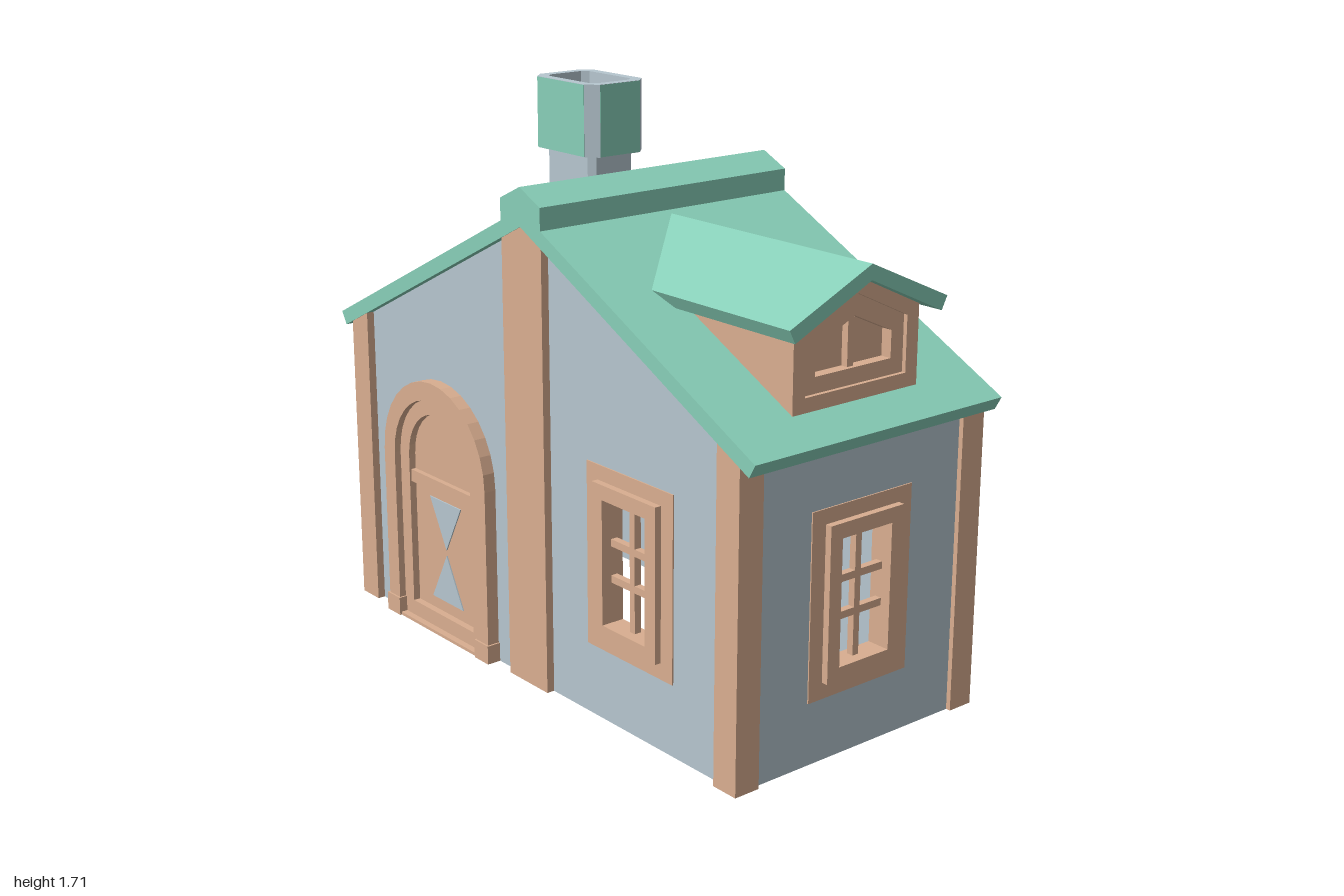
import * as THREE from 'three';

const mat = (color) => new THREE.MeshStandardMaterial({ color, flatShading: true, side: THREE.DoubleSide });
const wallMat = mat(0xb6c6cf), wood = mat(0xd9ae90), green = mat(0x88cfb8);

const SLOPE = 0.497;
const under = (z) => 1.41 - SLOPE * Math.abs(z); // underside of the main roof
const roofZ = (y) => (1.46 - y) / SLOPE;         // front roof surface at height y

const poly = (pts, Type = THREE.Shape) => new Type(pts.map(([x, y]) => new THREE.Vector2(x, y)));
const rect = (u, v0, half, v1) => [[u - half, v0], [u + half, v0], [u + half, v1], [u - half, v1]];
const mirrored = (half) => [...half, ...half.filter((p) => p[0] !== 0).reverse().map(([x, y]) => [-x, y])];
const house = (w, y0, y1, apex) => [[-w, y0], [w, y0], [w, y1], [0, apex], [-w, y1]];

// Outline with a semicircular top
function arch(u, y0, spring, r) {
  const pts = [[u - r, y0], [u + r, y0]];
  for (let i = 0; i <= 16; i++) {
    const a = (Math.PI * i) / 16;
    pts.push([u + r * Math.cos(a), spring + r * Math.sin(a)]);
  }
  pts.push([u - r, y0 + 0.001]);
  return pts;
}

// Plate between depths z0 and z1 with optional holes
function plate(parent, name, outline, z0, z1, material, holes = []) {
  const shape = poly(outline);
  holes.forEach((h) => shape.holes.push(poly(h, THREE.Path)));
  const geo = new THREE.ExtrudeGeometry(shape, { depth: z1 - z0, bevelEnabled: false });
  geo.translate(0, 0, z0);
  const mesh = new THREE.Mesh(geo, material);
  mesh.name = name;
  parent.add(mesh);
  return mesh;
}

// Facade group: local x runs along the wall, local z points outwards
function facade(parent, name, angle) {
  const g = new THREE.Group();
  g.name = name;
  g.rotation.y = angle;
  parent.add(g);
  return g;
}

// Framed window with six openings, w = outer wall depth
function addWindow(parent, u, dy, w) {
  const g = new THREE.Group();
  g.name = 'window';
  g.position.set(u, dy, 0);
  parent.add(g);
  const opening = rect(0, 0.28, 0.095, 0.66), frame = rect(0, 0.24, 0.14, 0.705);
  plate(g, 'windowSurround', rect(0, 0.19, 0.19, 0.75), w - 0.043, w + 0.004, wood, [rect(0, 0.25, 0.13, 0.695)]);
  plate(g, 'windowFrame', frame, w - 0.05, w + 0.025, wood, [opening]);
  plate(g, 'mullion', rect(0, 0.28, 0.011, 0.66), w - 0.03, w - 0.008, wood);
  for (const y of [0.415, 0.525]) plate(g, 'glazingBar', rect(0, y - 0.011, 0.095, y + 0.011), w - 0.03, w - 0.008, wood);
}
const windowHole = (u, dy) => rect(u, 0.22 + dy, 0.16, 0.72 + dy);

function addDoor(parent, u, w) {
  const g = new THREE.Group();
  g.name = 'door';
  parent.add(g);
  plate(g, 'doorSurround', arch(u, 0, 0.56, 0.28), w - 0.043, w + 0.04, wood, [arch(u, 0.01, 0.56, 0.22)]);
  plate(g, 'doorFrame', arch(u, 0, 0.56, 0.22), w - 0.035, w + 0.018, wood,
    [arch(u, 0.06, 0.56, 0.17)]);
  plate(g, 'doorLeaf', arch(u, 0.02, 0.56, 0.2), w - 0.03, w - 0.005, wood);
  plate(g, 'doorRail', rect(u, 0.47, 0.17, 0.51), w - 0.01, w + 0.012, wood);
  // Paired triangular panels, showing on both faces
  plate(g, 'upperPanel', [[u, 0.28], [u + 0.085, 0.44], [u - 0.085, 0.44]], w - 0.034, w - 0.001, wallMat);
  plate(g, 'lowerPanel', [[u - 0.085, 0.1], [u + 0.085, 0.1], [u, 0.26]], w - 0.034, w - 0.001, wallMat);
  // Foot blocks
  for (const s of [-1, 1]) plate(g, 'doorFoot', rect(u + s * 0.25, 0, 0.036, 0.06), w - 0.01, w + 0.046, wood);
}

// Timber following the roof slope at its top
function post(parent, name, u0, u1) {
  const mid = u0 < 0 && u1 > 0 ? [[0, under(0)]] : [];
  plate(parent, name, [[u0, 0], [u1, 0], [u1, under(u1)], ...mid, [u0, under(u0)]], 0.38, 0.465, wood);
}

function addDormer(parent) {
  const g = new THREE.Group();
  g.name = 'dormer';
  parent.add(g);
  // Rear ends are cut along the main roof
  const cut = (mesh) => {
    const p = mesh.geometry.attributes.position;
    for (let i = 0; i < p.count; i++) if (p.getZ(i) < 0.01) p.setZ(i, Math.min(roofZ(p.getY(i)), 0.887));
    mesh.geometry.computeVertexNormals();
  };
  cut(plate(g, 'dormerRoof', [[0, 1.36], [0.275, 1.233], [0.295, 1.272], [0, 1.405], [-0.295, 1.272], [-0.275, 1.233]], 0, 0.935, green));
  const recess = house(0.19, 1.06, 1.225, 1.315);
  cut(plate(g, 'dormerWalls', house(0.235, 1.017, 1.25, 1.36), 0, 0.888, wood, [recess]));
  plate(g, 'dormerWindowFrame', recess, 0.83, 0.875, wood, [house(0.143, 1.107, 1.187, 1.252)]);
  plate(g, 'dormerPane', recess, 0.815, 0.84, wood);
  plate(g, 'dormerMullion', rect(0, 1.107, 0.011, 1.245), 0.84, 0.862, wood);
}

function addChimney(parent) {
  const g = new THREE.Group();
  g.name = 'chimney';
  g.position.set(0.222, 0, -0.565);
  parent.add(g);
  const oct = (w, d, c) => [[-w + c, -d], [w - c, -d], [w, -d + c], [w, d - c], [w - c, d], [-w + c, d], [-w, d - c], [-w, -d + c]];
  // Plates stacked upright
  const up = facade(g, 'chimneyStack', 0);
  up.rotation.x = -Math.PI / 2;
  plate(up, 'chimneyShaft', oct(0.088, 0.122, 0.02), 1.09, 1.56, wallMat);
  plate(up, 'chimneyCap', oct(0.116, 0.158, 0.036), 1.48, 1.71, wallMat, [oct(0.083, 0.125, 0.02)]);
  // Green faces on three sides of the cap
  const panel = (w, d, x, z) => {
    const m = new THREE.Mesh(new THREE.BoxGeometry(w, 0.228, d), green);
    m.name = 'chimneyCapPanel';
    m.position.set(x, 1.595, z);
    g.add(m);
  };
  for (const s of [-1, 1]) panel(0.16, 0.004, 0, s * 0.157);
  panel(0.004, 0.244, -0.115, 0);
}

export function createModel() {
  const model = new THREE.Group();
  model.name = 'cottage';

  // Front and back walls
  for (const [name, angle] of [['frontWall', 0], ['backWall', Math.PI]]) {
    const f = facade(model, name, angle);
    plate(f, 'wallPanel', rect(0, 0, 0.44, 0.953), 0.885, 0.925, wallMat, [windowHole(0, 0)]);
    addWindow(f, 0, 0, 0.925);
  }

  // Gable walls with corner and centre posts
  const gable = mirrored([[0.925, 0], [0.925, under(0.925)], [0, under(0)]]);
  const right = facade(model, 'rightGable', -Math.PI / 2);
  const left = facade(model, 'leftGable', Math.PI / 2);
  plate(left, 'gablePanel', gable, 0.4, 0.44, wallMat);
  plate(right, 'gablePanel', gable, 0.4, 0.44, wallMat, [windowHole(0.46, 0.03), arch(-0.47, 0.01, 0.56, 0.25)]);
  for (const g of [left, right]) {
    post(g, 'centrePost', -0.095, 0.095);
    post(g, 'cornerPost', 0.85, 0.94);
    post(g, 'cornerPost', -0.94, -0.85);
  }
  for (const s of [-1, 1]) {
    for (const [y0, y1] of [[0, 0.145], [0.4, 0.54]]) {
      plate(left, 'crossBeam', rect(s * 0.4725, y0, 0.3775, y1), 0.41, 0.453, wood);
    }
  }
  addWindow(right, 0.46, 0.03, 0.44);
  addDoor(right, -0.47, 0.44);

  // Main roof with raised ridge
  const roof = facade(model, 'roof', Math.PI / 2);
  plate(roof, 'roofSlab', [[0, 1.41], [0.977, 0.922], [1, 0.962], [0.095, 1.413], [0.095, 1.48], [0, 1.525],
    [-0.095, 1.48], [-0.095, 1.413], [-1, 0.962], [-0.977, 0.922]], -0.467, 0.467, green);

  addDormer(model);
  addChimney(model);
  return model;
}
